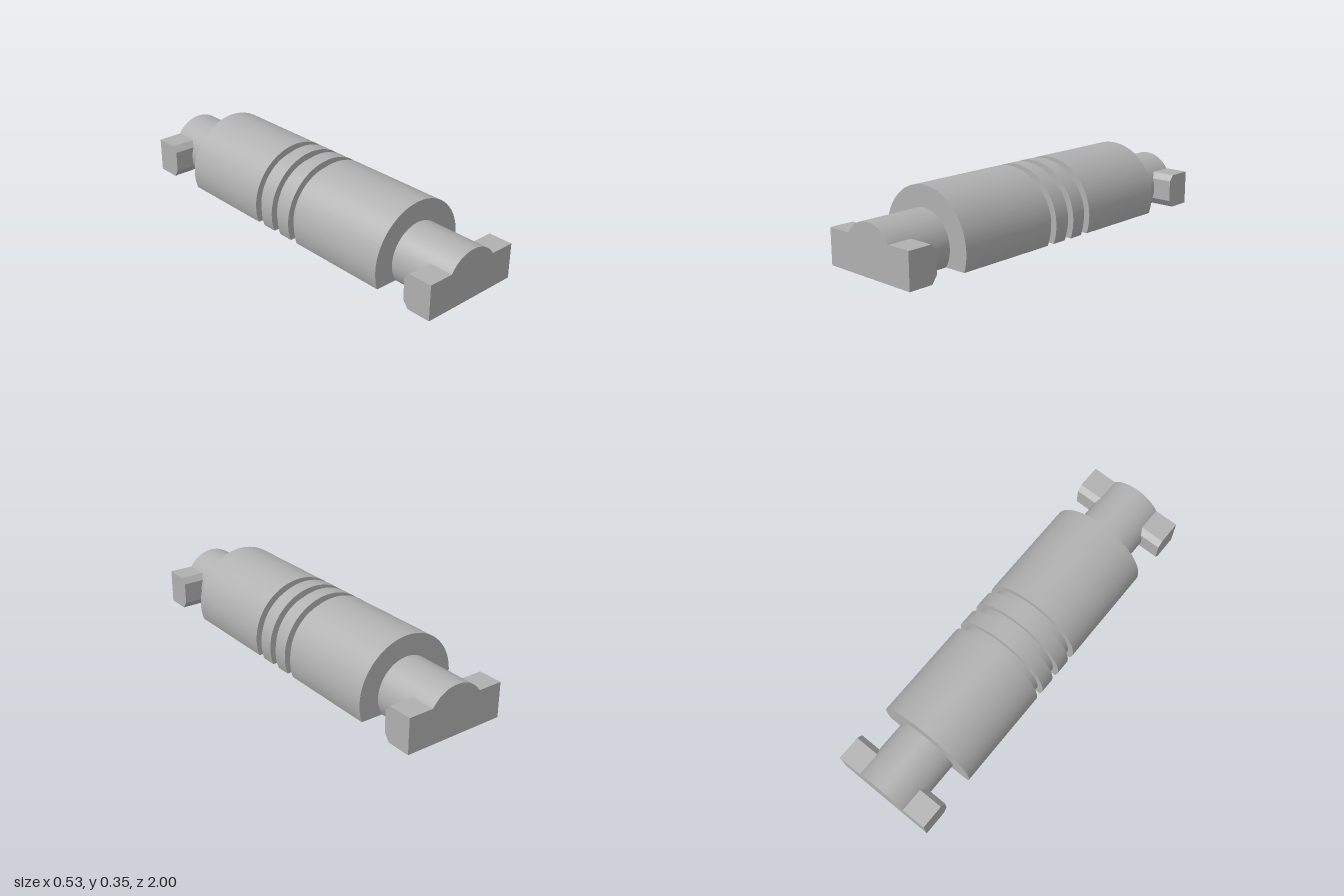
import * as THREE from 'three';
import { toCreasedNormals } from 'three/addons/utils/BufferGeometryUtils.js';

const AXIS_Y = 0.089; // height of the shared axis above the flat base
const BODY_R = 0.264, GROOVE_R = 0.231, SHAFT_R = 0.16;

// Cylinder lying along z, cut flat at y = 0
function flatBottomedCylinder(radius, z0, z1) {
  const a = Math.asin(AXIS_Y / radius);
  const shape = new THREE.Shape();
  shape.absarc(0, AXIS_Y, radius, -a, Math.PI + a, false);
  shape.closePath();
  const geo = new THREE.ExtrudeGeometry(shape, { depth: z1 - z0, bevelEnabled: false, curveSegments: 64 });
  geo.translate(0, 0, z0);
  return toCreasedNormals(geo, 0.5);
}

// Side lug with chamfered inner edges, extruded across x
function lugGeometry(sideX, endZ) {
  const profile = [[1, 0], [1, 0.176], [0.877, 0.176], [0.85, 0.146], [0.85, 0.036], [0.877, 0]];
  const shape = new THREE.Shape(profile.map(([z, y]) => new THREE.Vector2(z * endZ, y)));
  const inner = 0.132, outer = 0.262;
  const geo = new THREE.ExtrudeGeometry(shape, { depth: outer - inner, bevelEnabled: false });
  geo.rotateY(-Math.PI / 2);
  geo.translate(sideX > 0 ? outer : -inner, 0, 0);
  return geo;
}

export function createModel() {
  const model = new THREE.Group();
  const grey = new THREE.MeshStandardMaterial({ color: 0xb0b0b0 });
  grey.name = 'grey';

  const add = (name, geometry) => {
    const mesh = new THREE.Mesh(geometry, grey);
    mesh.name = name;
    model.add(mesh);
  };

  // Main barrel, split by three shallow grooves
  const cuts = [-0.68, -0.156, -0.112, -0.034, 0.011, 0.09, 0.133, 0.68];
  for (let i = 0; i < cuts.length - 1; i++) {
    const isGroove = i % 2 === 1;
    add(isGroove ? 'groove' : 'barrelSection',
      flatBottomedCylinder(isGroove ? GROOVE_R : BODY_R, cuts[i], cuts[i + 1]));
  }

  // Narrow shafts at both ends
  add('frontShaft', flatBottomedCylinder(SHAFT_R, 0.68, 1));
  add('backShaft', flatBottomedCylinder(SHAFT_R, -1, -0.68));

  // Lugs on both sides of each shaft
  for (const endZ of [1, -1]) {
    for (const sideX of [1, -1]) {
      add(`${endZ > 0 ? 'front' : 'back'}${sideX > 0 ? 'Left' : 'Right'}Lug`, lugGeometry(sideX, endZ));
    }
  }
  return model;
}
